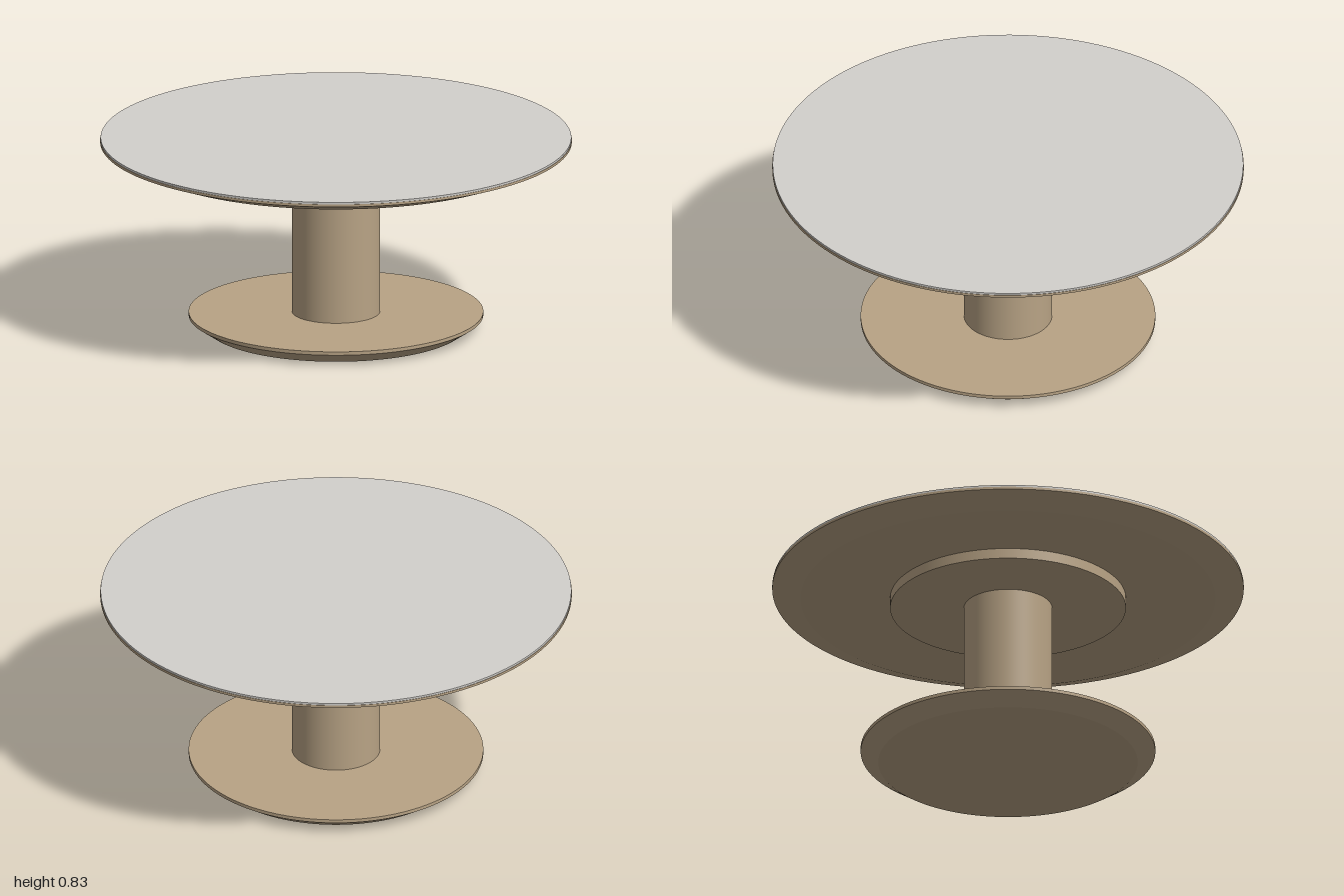
import * as THREE from 'three';

const SEGMENTS = 128;

export function createModel() {
  const model = new THREE.Group();
  model.name = 'pedestalTable';

  const wood = new THREE.MeshStandardMaterial({ color: 0xb8a385 });
  wood.name = 'tan wood';
  const stone = new THREE.MeshStandardMaterial({ color: 0xd2d0cc });
  stone.name = 'pale grey top';

  // Upright disc or cone section between two heights
  function disc(name, parent, material, rTop, rBottom, y0, y1) {
    const geometry = new THREE.CylinderGeometry(rTop, rBottom, y1 - y0, SEGMENTS);
    const mesh = new THREE.Mesh(geometry, material);
    mesh.name = name;
    mesh.position.y = (y0 + y1) / 2;
    parent.add(mesh);
  }

  // Round slab with a straight rim and an undercut bevel; each band keeps its crisp edge
  function bevelledSlab(name, radius, footRadius, y0, yRim, y1) {
    const slab = new THREE.Group();
    slab.name = name;
    disc(name + 'Bevel', slab, wood, radius, footRadius, y0, yRim);
    disc(name + 'Rim', slab, wood, radius, radius, yRim, y1);
    model.add(slab);
  }

  // Foot plate, column and mounting plate
  bevelledSlab('base', 0.625, 0.55, 0, 0.05, 0.065);
  disc('column', model, wood, 0.187, 0.187, 0.065, 0.722);
  disc('mountingPlate', model, wood, 0.5, 0.5, 0.722, 0.767);

  // Table top with its thin inlaid surface
  bevelledSlab('tableTop', 1, 0.88, 0.767, 0.812, 0.823);
  disc('topSurface', model, stone, 0.998, 0.998, 0.823, 0.832);

  return model;
}
